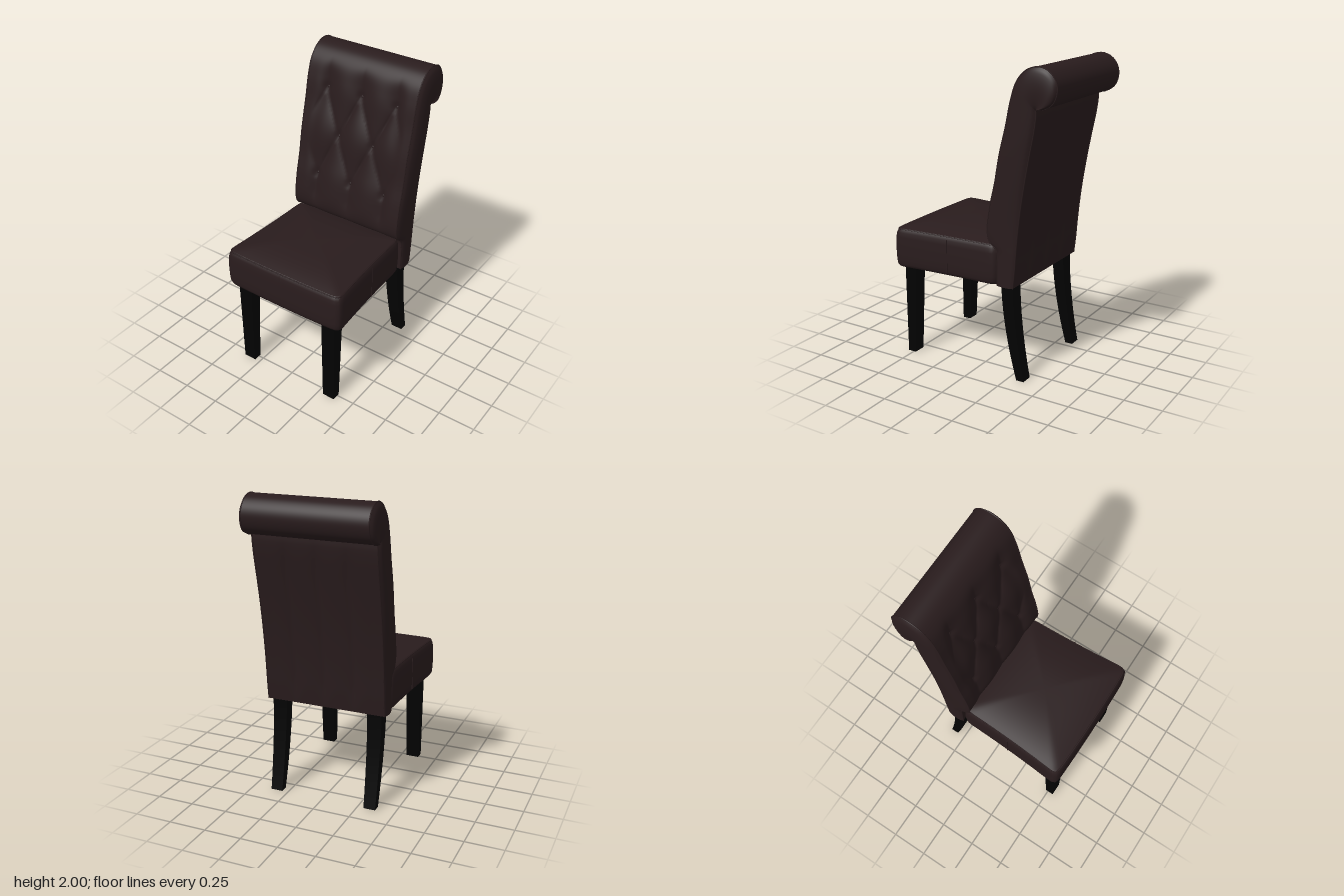
import * as THREE from 'three';

const leather = new THREE.MeshStandardMaterial({ color: 0x291c1d, side: THREE.DoubleSide });
leather.name = 'dark brown leather';
const wood = new THREE.MeshStandardMaterial({ color: 0x020202 });
wood.name = 'black wood';
const lining = new THREE.MeshStandardMaterial({ color: 0x483a22 });
lining.name = 'olive lining';

const { smoothstep, lerp } = THREE.MathUtils;

function add(group, name, geometry, material) {
  const mesh = new THREE.Mesh(geometry, material);
  mesh.name = name;
  group.add(mesh);
  return mesh;
}

// Surface from a rule point(u, v) -> [x, y, z]; its front is du x dv
function sheet(nu, nv, point) {
  const pos = [], index = [];
  for (let j = 0; j <= nv; j++) {
    for (let i = 0; i <= nu; i++) {
      pos.push(...point(i / nu, j / nv));
      if (i === nu || j === nv) continue;
      const a = j * (nu + 1) + i, b = a + 1, c = b + nu + 1, d = c - 1;
      index.push(a, b, c, a, c, d);
    }
  }
  const g = new THREE.BufferGeometry();
  g.setAttribute('position', new THREE.Float32BufferAttribute(pos, 3));
  g.setIndex(index);
  g.computeVertexNormals();
  return g;
}

// Side profile of the backrest as [z, y]; front and back points are paired
const FRONT = [[-0.19, 0.63], [-0.19, 0.76], [-0.185, 0.86], [-0.135, 0.905], [-0.118, 0.97],
  [-0.135, 1.12], [-0.172, 1.28], [-0.205, 1.46], [-0.25, 1.64], [-0.285, 1.8], [-0.325, 1.91],
  [-0.385, 1.975], [-0.46, 2.0], [-0.53, 1.983], [-0.578, 1.93], [-0.59, 1.87], [-0.565, 1.8],
  [-0.51, 1.762], [-0.452, 1.75]];
const BACK = [[-0.3, 0.63], [-0.312, 0.74], [-0.32, 0.84], [-0.326, 0.91], [-0.333, 0.98],
  [-0.35, 1.12], [-0.375, 1.28], [-0.408, 1.46], [-0.44, 1.62], [-0.452, 1.71], [-0.452, 1.75]];
const BACK_END = (BACK.length - 1) / (FRONT.length - 1);
const toCurve = pts => new THREE.CatmullRomCurve3(pts.map(([z, y]) => new THREE.Vector3(0, y, z)));
const frontCurve = toCurve(FRONT), backCurve = toCurve(BACK);
const HALF = 0.405;

const BUTTONS = [[-0.26, 1.75], [0, 1.75], [0.26, 1.75], [-0.13, 1.46], [0.13, 1.46],
  [-0.26, 1.17], [0, 1.17], [0.26, 1.17]];

// Depth of the diamond pleats, running out into vertical ones above and below
function tuftDepth(x, y) {
  const row = (THREE.MathUtils.clamp(y, 1.17, 1.75) - 1.17) / 0.58;
  const p = x / 0.26 + row, q = x / 0.26 - row;
  const puff = Math.sqrt(Math.abs(Math.sin(Math.PI * p) * Math.sin(Math.PI * q)));
  const fade = smoothstep(y, 0.86, 1.05) * (1 - smoothstep(y, 1.75, 1.95));
  let depth = 0.028 * (1 - puff) * fade * (1 - smoothstep(Math.abs(x), 0.26, 0.36));
  for (const [bx, by] of BUTTONS) {
    depth += 0.012 * Math.exp(-((x - bx) ** 2 + (y - by) ** 2) / 0.0006);
  }
  return depth;
}

function frontPoint(x, v) {
  const p = frontCurve.getPoint(v), t = frontCurve.getTangent(v);
  const d = v < 0.66 ? tuftDepth(x, p.y) : 0;
  return [x, p.y + t.z * d, p.z - t.y * d];
}

function backrest() {
  const g = new THREE.Group();
  g.name = 'backrest';
  add(g, 'tuftedFront', sheet(84, 130, (u, v) => frontPoint(lerp(-HALF, HALF, u), v)), leather);

  // Rear panel with soft vertical channels
  add(g, 'rearPanel', sheet(48, 40, (u, v) => {
    const x = lerp(HALF, -HALF, u), p = backCurve.getPoint(v);
    const groove = 0.011 * (1 - Math.sqrt(Math.abs(Math.sin(Math.PI * x / 0.2025))));
    const fade = smoothstep(p.y, 0.63, 0.8) * (1 - smoothstep(p.y, 1.55, 1.75)) * (Math.abs(x) < 0.35 ? 1 : 0);
    return [x, p.y, p.z + groove * fade];
  }), leather);
  add(g, 'backrestBase', sheet(1, 1, (u, v) => [lerp(-HALF, HALF, u), 0.63, lerp(-0.3, -0.19, v)]), leather);

  // Padded sides and their piping
  for (const side of [1, -1]) {
    add(g, side > 0 ? 'leftSide' : 'rightSide', sheet(14, 110, (u, v) => {
      const s = side > 0 ? u : 1 - u;
      const a = frontCurve.getPoint(v), b = backCurve.getPoint(Math.min(1, v / BACK_END));
      const bulge = (0.012 + 0.018 * smoothstep(a.y, 0.7, 1.6)) * Math.min(1, a.distanceTo(b) / 0.1);
      const x = HALF + bulge * Math.sqrt(Math.max(0, Math.sin(Math.PI * s)));
      return [side * x, lerp(a.y, b.y, s), lerp(a.z, b.z, s)];
    }), leather);
    for (const [name, curve] of [['frontPiping', frontCurve], ['rearPiping', backCurve]]) {
      const pipe = add(g, name, new THREE.TubeGeometry(curve, 80, 0.004, 6), leather);
      pipe.position.x = side * HALF;
    }
  }

  // Buttons seated in the tufts
  for (const [x, y] of BUTTONS) {
    let v = 0.2;
    while (frontCurve.getPoint(v).y < y) v += 0.001;
    const b = add(g, 'button', new THREE.SphereGeometry(0.011, 12, 8), leather);
    b.position.set(...frontPoint(x, v));
    b.scale.z = 0.6;
  }
  return g;
}

// Seat outline: rounded square narrowing towards the back
function seatOutline(u, inset) {
  const a = u * Math.PI * 2, sx = Math.sin(a), sz = Math.cos(a);
  const n = (Math.abs(sx) ** 22 + Math.abs(sz) ** 22) ** (1 / 22);
  const x = sx / n, z = sz / n;
  const halfWidth = 0.418 + 0.02 * z + 0.008 * z * z;
  const bow = z > 0 ? 0.008 * (1 - x * x) : 0;
  return [x * (halfWidth - inset), 0.2 + z * (0.382 - inset) + bow];
}

function seat() {
  const g = new THREE.Group();
  g.name = 'seat';
  const rings = [[0.04, 0.621], [0.012, 0.626], [0.003, 0.645], [0, 0.68], [-0.002, 0.75],
    [0, 0.83], [0.004, 0.86], [0.012, 0.88], [0.02, 0.886]];
  add(g, 'seatBand', sheet(160, rings.length - 1, (u, v) => {
    const [inset, y] = rings[Math.round(v * (rings.length - 1))];
    const [x, z] = seatOutline(u, inset);
    return [x, y, z];
  }), leather);
  // Crowned cushion top
  add(g, 'seatTop', sheet(160, 14, (u, v) => {
    const [x, z] = seatOutline(u, 0.02), t = 1 - v;
    return [x * t, 0.886 + 0.048 * (1 - t ** 2.6), 0.2 + (z - 0.2) * t];
  }), leather);
  add(g, 'seatBase', sheet(160, 1, (u, v) => {
    const [x, z] = seatOutline(u, 0.04);
    return [x * v, 0.621, 0.2 + (z - 0.2) * v];
  }), leather);

  // Piping round the top edge and a seam on each side
  const edge = [];
  for (let i = 0; i < 160; i++) {
    const [x, z] = seatOutline(i / 160, 0.014);
    edge.push(new THREE.Vector3(x, 0.882, z));
  }
  add(g, 'seatPiping', new THREE.TubeGeometry(new THREE.CatmullRomCurve3(edge, true), 240, 0.004, 6, true), leather);
  for (const side of [1, -1]) {
    const seam = add(g, 'sideSeam', new THREE.BoxGeometry(0.006, 0.22, 0.004), leather);
    seam.position.set(side * 0.418, 0.755, 0.18);
  }

  // Cloth lining underneath
  const panel = new THREE.Shape([[-0.345, 0.13], [0.345, 0.13], [0.37, -0.53], [-0.37, -0.53]]
    .map(([x, y]) => new THREE.Vector2(x, y)));
  const cloth = new THREE.ExtrudeGeometry(panel, { depth: 0.004, bevelEnabled: false }).rotateX(-Math.PI / 2);
  add(g, 'seatLining', cloth, lining).position.y = 0.615;
  return g;
}

// Square leg; section(t) gives [x inner, x outer, z back, z front]
function leg(section, side) {
  const geo = new THREE.BoxGeometry(1, 0.635, 1, 1, 12, 1).translate(0, 0.3175, 0);
  const p = geo.attributes.position;
  for (let i = 0; i < p.count; i++) {
    const [x0, x1, z0, z1] = section(p.getY(i) / 0.635);
    const x = p.getX(i) + 0.5;
    p.setX(i, side > 0 ? lerp(x0, x1, x) : -lerp(x1, x0, x));
    p.setZ(i, lerp(z0, z1, p.getZ(i) + 0.5));
  }
  geo.computeVertexNormals();
  return geo;
}
const frontSection = t => [lerp(0.288, 0.28, t), lerp(0.375, 0.382, t), lerp(0.485, 0.458, t), 0.542];
const rearSection = t => {
  const sweep = 0.105 * (1 - t) ** 1.7;
  return [lerp(0.292, 0.282, t), lerp(0.372, 0.38, t), -0.284 - sweep * 0.74, -0.204 - sweep];
};

export function createModel() {
  const model = new THREE.Group();
  model.name = 'diningChair';
  model.add(seat(), backrest());
  for (const side of [1, -1]) {
    const label = side > 0 ? 'Left' : 'Right';
    add(model, 'front' + label + 'Leg', leg(frontSection, side), wood);
    add(model, 'rear' + label + 'Leg', leg(rearSection, side), wood);
  }
  return model;
}
